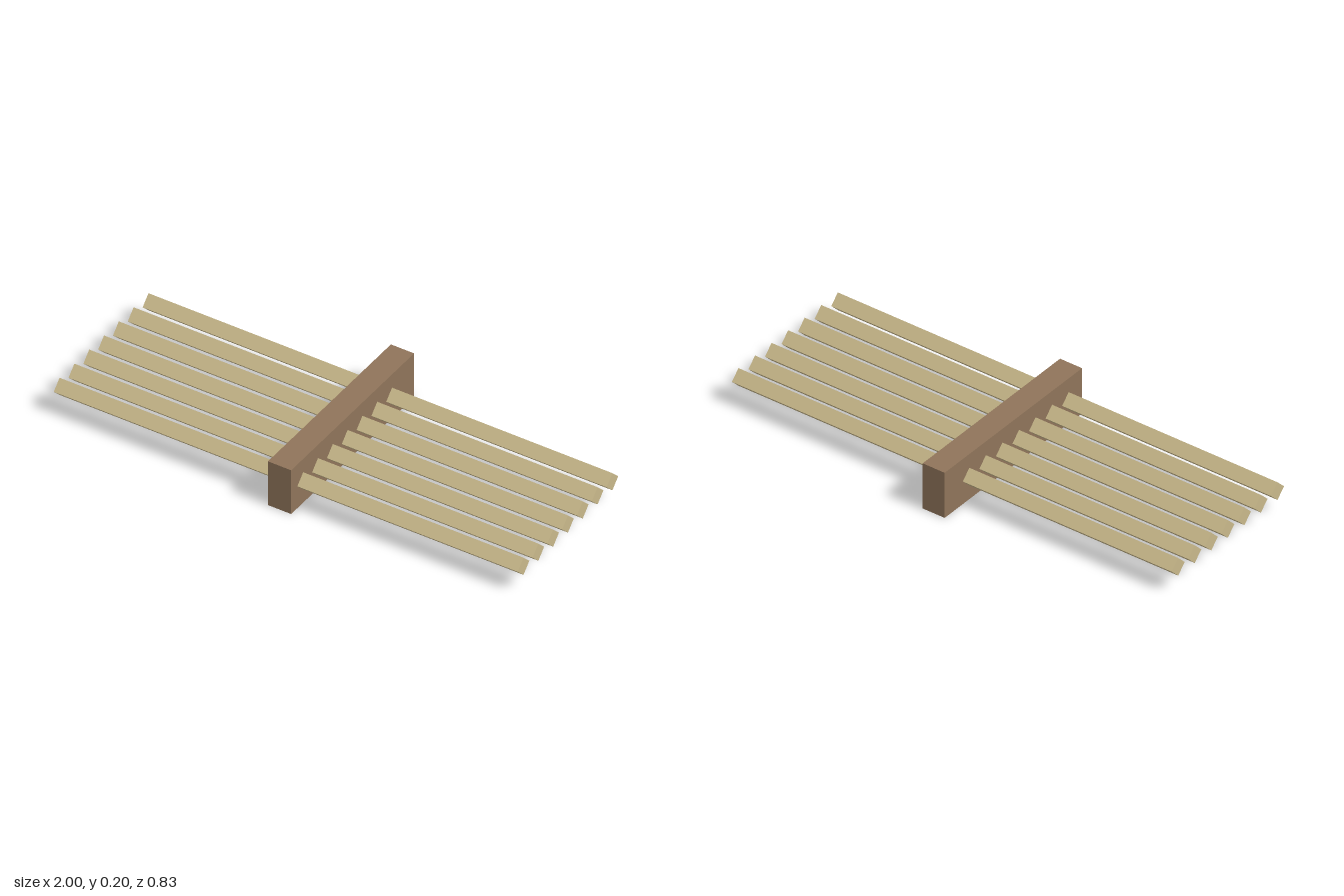
import * as THREE from 'three';

export function createModel() {
  const model = new THREE.Group();
  model.name = 'slattedPanel';

  const brown = new THREE.MeshStandardMaterial({ color: 0x8f745a });
  brown.name = 'brown wood';
  const tan = new THREE.MeshStandardMaterial({ color: 0xc8b88a });
  tan.name = 'pale wood';

  // Central cross beam
  const beam = new THREE.Mesh(new THREE.BoxGeometry(0.1, 0.2, 0.83), brown);
  beam.name = 'crossBeam';
  beam.position.y = 0.1;
  model.add(beam);

  // Seven square slats turned on edge, passing through the beam
  const side = 0.0555;
  const slatGeometry = new THREE.BoxGeometry(2, side, side).rotateX(Math.PI / 4);
  for (let i = 0; i < 7; i++) {
    const slat = new THREE.Mesh(slatGeometry, tan);
    slat.name = `slat${i + 1}`;
    slat.position.set(0, 0.1, 0.334 - i * 0.1);
    model.add(slat);
  }

  return model;
}
